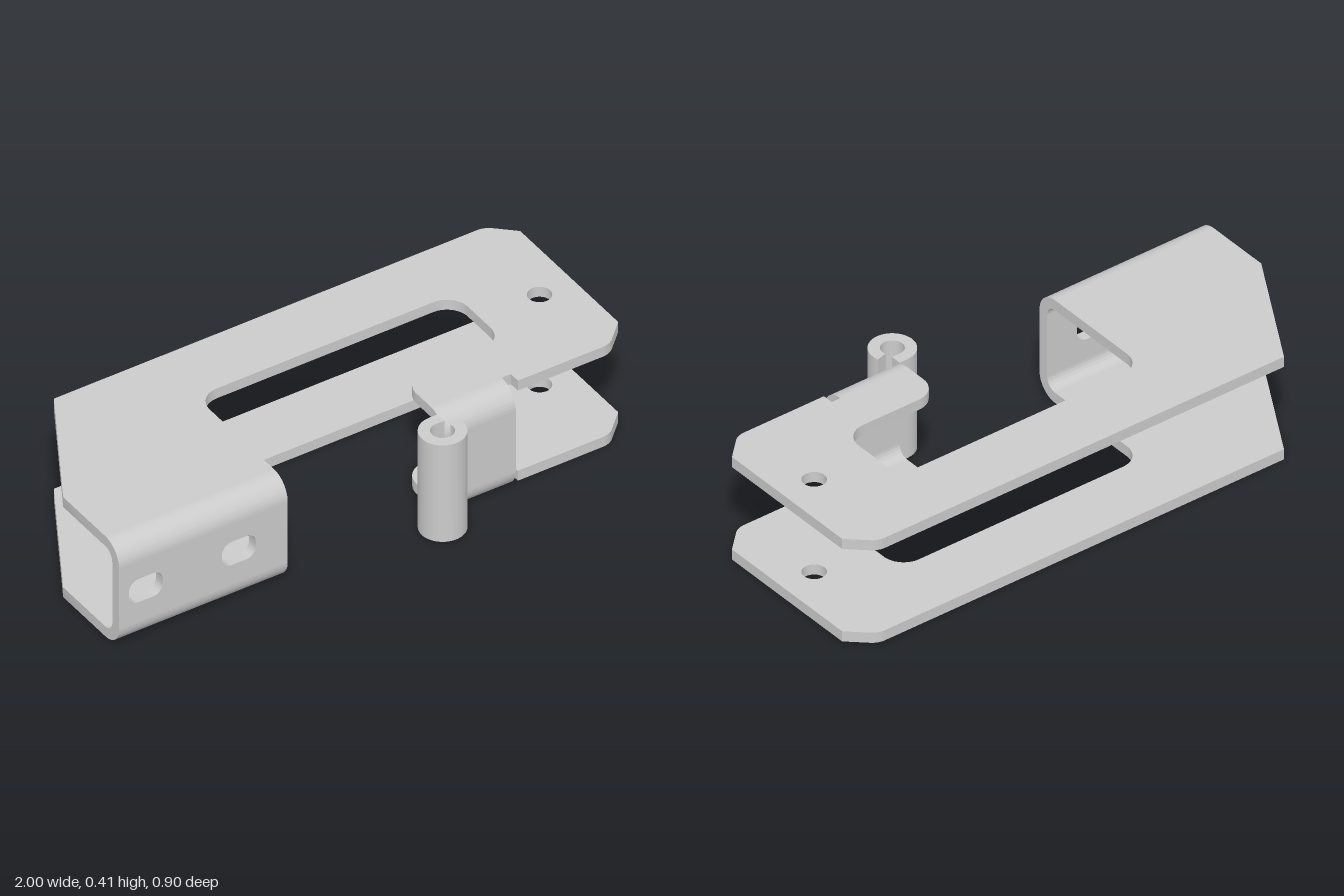
import * as THREE from 'three';
import { toCreasedNormals } from 'three/addons/utils/BufferGeometryUtils.js';

const H = 0.405;      // overall height
const T = 0.04;       // sheet thickness
const R = 0.08;       // outer bend radius
const FRONT = 0.33;   // front face of the folded webs
const BEND = FRONT - R;
const material = new THREE.MeshStandardMaterial({ color: 0xcccccc });

// Closed outline from [x, y, cornerRadius] points
function roundedOutline(points, PathType = THREE.Shape) {
  const path = new PathType();
  const n = points.length;
  points.forEach(([x, y, r = 0], i) => {
    const p = new THREE.Vector2(x, y);
    const toward = ([ax, ay], d) => new THREE.Vector2(ax, ay).sub(p).setLength(d).add(p);
    const prev = points[(i + n - 1) % n], next = points[(i + 1) % n];
    const a = r ? toward(prev, r) : p, b = r ? toward(next, r) : p;
    if (i === 0) path.moveTo(a.x, a.y); else path.lineTo(a.x, a.y);
    if (r) {
      const k = 0.5523;
      const c1 = a.clone().lerp(p, k), c2 = b.clone().lerp(p, k);
      path.bezierCurveTo(c1.x, c1.y, c2.x, c2.y, b.x, b.y);
    }
  });
  path.closePath();
  return path;
}

// Thick arc section between two angles
function arcSection(cx, cy, outer, inner, from, to) {
  const s = new THREE.Shape();
  s.absarc(cx, cy, outer, from, to, false);
  s.absarc(cx, cy, inner, to, from, true);
  s.closePath();
  return s;
}

function extrude(shape, depth, curveSegments = 12) {
  return new THREE.ExtrudeGeometry(shape, { depth, bevelEnabled: false, curveSegments });
}

function addMesh(parent, name, geometry) {
  const mesh = new THREE.Mesh(toCreasedNormals(geometry, 0.6), material);
  mesh.name = name;
  parent.add(mesh);
}

// Shape drawn in (x, z), raised from y0 to y1
const upright = (shape, y0, y1, seg) =>
  extrude(shape, y1 - y0, seg).rotateX(Math.PI / 2).translate(0, y1, 0);

// Shape drawn in (z, y), swept from x0 to x1
const sideways = (shape, x0, x1) =>
  extrude(shape, x1 - x0).rotateY(-Math.PI / 2).translate(x1, 0, 0);

// Vertical web with a quarter bend into each plate
function foldedWeb(name, x0, x1, slots = []) {
  const group = new THREE.Group();
  group.name = name;
  const panel = roundedOutline([[x0, R], [x1, R], [x1, H - R], [x0, H - R]]);
  for (const [a, b] of slots) {
    const r = 0.038;
    panel.holes.push(roundedOutline(
      [[a, 0.158, r], [a, 0.252, r], [b, 0.252, r], [b, 0.158, r]], THREE.Path));
  }
  addMesh(group, name + 'Panel', extrude(panel, T).translate(0, 0, FRONT - T));
  addMesh(group, name + 'LowerBend',
    sideways(arcSection(BEND, R, R, R - T, -Math.PI / 2, 0), x0, x1));
  addMesh(group, name + 'UpperBend',
    sideways(arcSection(BEND, H - R, R, R - T, 0, Math.PI / 2), x0, x1));
  return group;
}

export function createModel() {
  const model = new THREE.Group();
  model.name = 'hingeBracket';

  // Matching upper and lower plates
  const plate = roundedOutline([
    [-1, 0.002], [-0.74, -0.45], [0.914, -0.45, 0.025], [1, -0.37],
    [1, 0.205], [0.914, 0.288, 0.025], [0.56, 0.288], [0.56, 0.247],
    [0.525, 0.247], [0.525, BEND], [0.25, BEND], [0.25, 0.085, 0.08],
    [0.64, 0.085, 0.08], [0.64, -0.208, 0.08], [-0.352, -0.208, 0.08],
    [-0.352, BEND], [-1, BEND],
  ]);
  const hole = new THREE.Path();
  hole.absarc(0.868, -0.055, 0.041, 0, Math.PI * 2, true);
  plate.holes.push(hole);
  addMesh(model, 'lowerPlate', upright(plate, 0, T));
  addMesh(model, 'upperPlate', upright(plate, H - T, H));

  // Slotted mounting web and the short hinge web
  model.add(foldedWeb('mountingWeb', -1, -0.352, [[-0.962, -0.832], [-0.604, -0.474]]));
  model.add(foldedWeb('hingeWeb', 0.25, 0.525));

  // Rolled hinge barrel: open curl leading out of the short web
  const cx = 0.217, cz = FRONT - T + R;
  const curl = new THREE.Shape();
  const end = -0.3, start = -Math.PI / 2;
  curl.moveTo(0.25, cz - R);
  curl.lineTo(0.25, cz - R + T);
  curl.lineTo(cx, cz - R + T);
  curl.absarc(cx, cz, R - T, start, end, true);
  curl.absarc(cx, cz, R, end, start, false);
  curl.closePath();
  addMesh(model, 'hingeBarrel', upright(curl, 0.01, 0.4, 40));

  return model;
}
